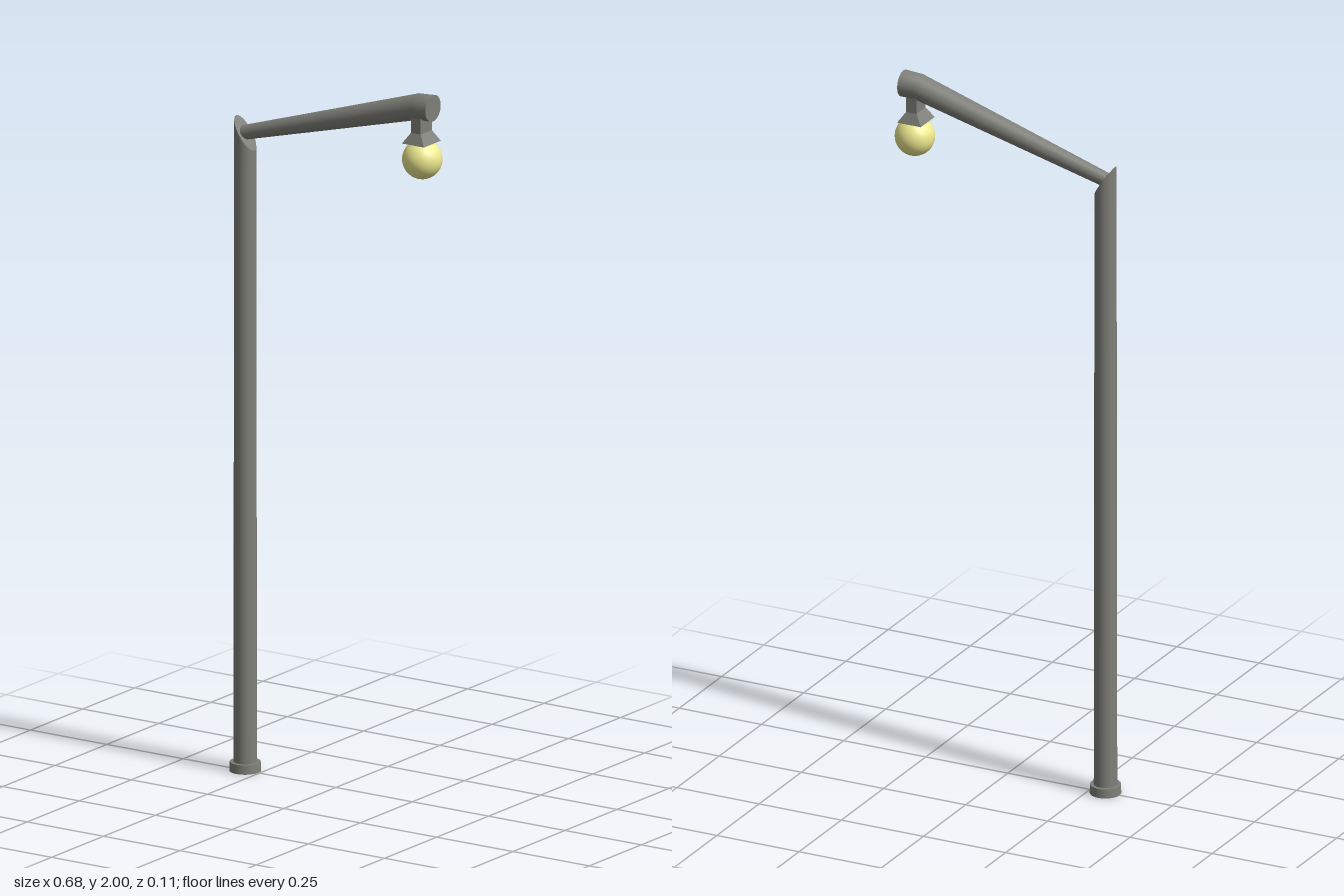
import * as THREE from 'three';

const metal = new THREE.MeshStandardMaterial({ color: 0x80807a, side: THREE.DoubleSide });
const facetedMetal = new THREE.MeshStandardMaterial({ color: 0x80807a, flatShading: true, side: THREE.DoubleSide });
const glow = new THREE.MeshStandardMaterial({ color: 0xeeea90 });

const POLE_X = -0.297;

export function createModel() {
  const group = new THREE.Group();
  group.name = 'streetLamp';
  const add = (name, geometry, material, x = 0, y = 0, z = 0) => {
    const mesh = new THREE.Mesh(geometry, material);
    mesh.name = name;
    mesh.position.set(x, y, z);
    group.add(mesh);
    return mesh;
  };

  // Foot collar
  add('baseCollar', new THREE.CylinderGeometry(0.042, 0.043, 0.026, 32), metal, POLE_X, 0.013);

  // Pole, its top cut at a slant facing the arm
  const poleHeight = 1.795;
  const pole = new THREE.CylinderGeometry(0.03, 0.032, poleHeight, 32);
  pole.translate(0, poleHeight / 2, 0);
  const p = pole.attributes.position;
  const n = pole.attributes.normal;
  const capNormal = new THREE.Vector3(1.5, 1, 0).normalize();
  for (let i = 0; i < p.count; i++) {
    if (p.getY(i) < poleHeight - 0.001) continue;
    p.setY(i, poleHeight - 1.5 * p.getX(i));
    if (n.getY(i) > 0.9) n.setXYZ(i, capNormal.x, capNormal.y, capNormal.z);
  }
  add('pole', pole, metal, POLE_X);

  // Arm: widening tube that levels out at the lamp end
  // Each section: centre x, centre y, radius, lean of the ring plane
  const sections = [
    [-0.3, 1.796, 0.02, 0.286],
    [0.272, 1.961, 0.036, 0.143],
    [0.318, 1.963, 0.037, 0],
  ];
  add('arm', tubeFromSections(sections, 32), metal);

  // End cap of the arm
  const cap = add('armEndCap', new THREE.CircleGeometry(0.037, 32), metal, 0.318, 1.963);
  cap.rotation.y = Math.PI / 2;

  // Lamp shade: narrow neck flaring into a four-sided hood
  // Each section: y, half width in x, half width in z
  const hood = [
    [1.935, 0.016, 0.027],
    [1.892, 0.016, 0.027],
    [1.862, 0.036, 0.041],
  ];
  add('lampHood', rectLoft(hood), facetedMetal, 0.28);

  // Globe
  add('globe', new THREE.SphereGeometry(0.055, 32, 20), glow, 0.283, 1.815);
  return group;
}

// Round tube through leaning rings along x
function tubeFromSections(sections, sides) {
  const pos = [];
  const index = [];
  sections.forEach(([cx, cy, r, lean], s) => {
    for (let i = 0; i < sides; i++) {
      const a = (i / sides) * Math.PI * 2;
      const u = Math.cos(a) * r;
      pos.push(cx - u * Math.sin(lean), cy + u * Math.cos(lean), Math.sin(a) * r);
      if (s === 0) continue;
      const j = (i + 1) % sides;
      const a0 = (s - 1) * sides;
      const b0 = s * sides;
      index.push(a0 + i, a0 + j, b0 + i, a0 + j, b0 + j, b0 + i);
    }
  });
  return finish(pos, index);
}

// Stacked rectangles joined top to bottom, closed underneath
function rectLoft(sections) {
  const pos = [];
  const index = [];
  const corners = [[1, 1], [1, -1], [-1, -1], [-1, 1]];
  sections.forEach(([y, hx, hz], s) => {
    corners.forEach(([sx, sz], i) => {
      pos.push(sx * hx, y, sz * hz);
      if (s === 0) return;
      const j = (i + 1) % 4;
      const a0 = (s - 1) * 4;
      const b0 = s * 4;
      index.push(a0 + i, b0 + i, a0 + j, a0 + j, b0 + i, b0 + j);
    });
  });
  const b = (sections.length - 1) * 4;
  index.push(b, b + 2, b + 1, b, b + 3, b + 2);
  return finish(pos, index);
}

function finish(pos, index) {
  const geometry = new THREE.BufferGeometry();
  geometry.setAttribute('position', new THREE.Float32BufferAttribute(pos, 3));
  geometry.setIndex(index);
  geometry.computeVertexNormals();
  return geometry;
}
